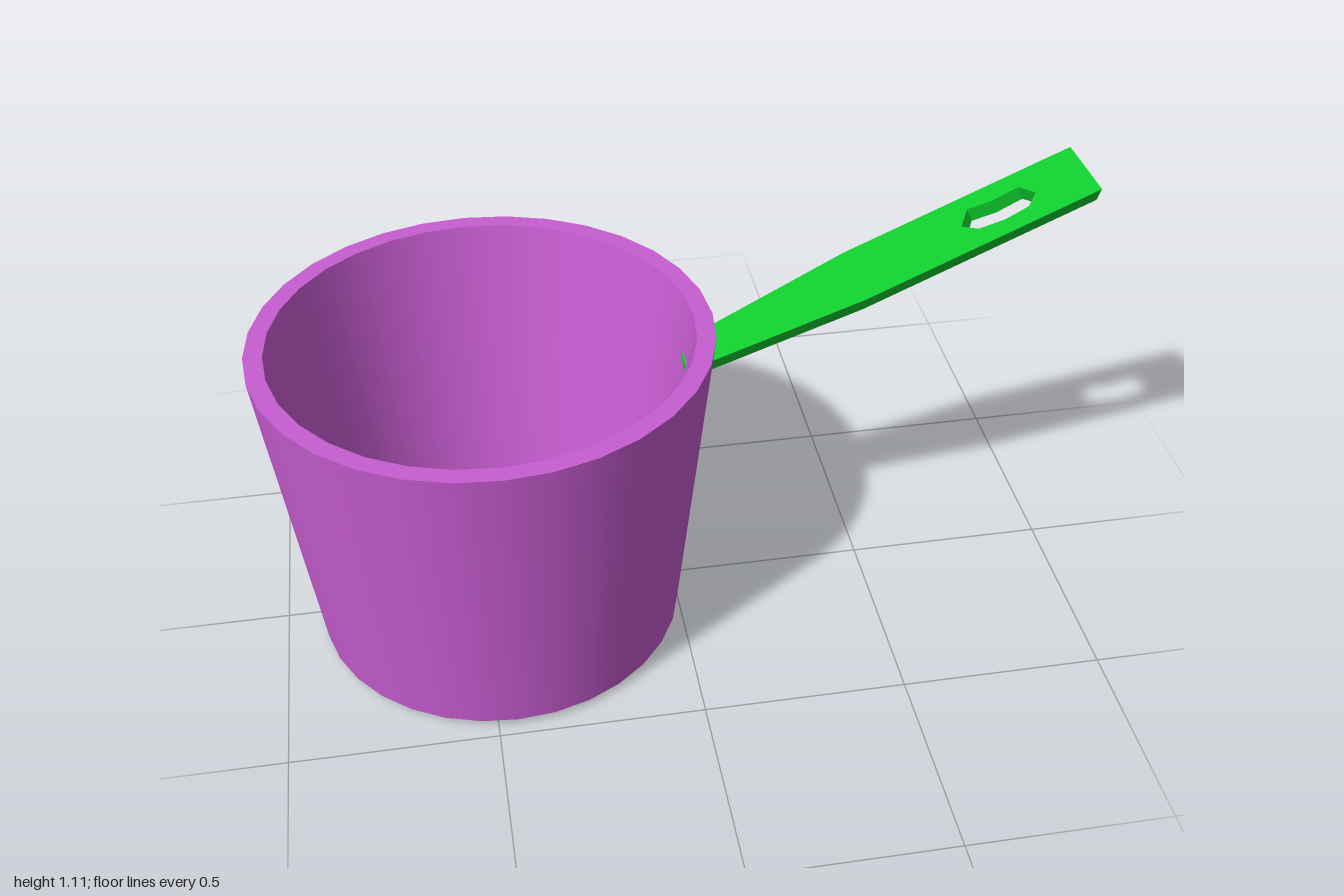
import * as THREE from 'three';

const TILT = 0.019; // the whole pan leans very slightly backwards

export function createModel() {
  const model = new THREE.Group();
  const purple = new THREE.MeshStandardMaterial({ name: 'purple', color: 0xc85dd2 });
  const green = new THREE.MeshStandardMaterial({ name: 'green', color: 0x0fce2e });

  // Pot: one lathed band per profile edge, so the rims stay crisp
  const pot = new THREE.Group();
  pot.name = 'pot';
  const profile = [[0, 0], [0.457, 0], [0.55, 0.81], [0.505, 0.81], [0.38, 0.05], [0, 0.05]];
  const names = ['base', 'outerWall', 'rim', 'innerWall', 'floor'];
  names.forEach((name, i) => {
    const edge = [profile[i], profile[i + 1]].map(([r, y]) => new THREE.Vector2(r, y));
    const band = new THREE.Mesh(new THREE.LatheGeometry(edge, 32), purple);
    band.name = name;
    pot.add(band);
  });
  pot.position.set(-0.45, 0.009, 0.014);
  pot.rotation.x = -TILT;
  model.add(pot);

  // Handle: plan outline (x, z) with a notched hanging hole
  const toPlan = ([x, z]) => new THREE.Vector2(x, -z);
  const outline = new THREE.Shape([
    [0.03, 0.051], [0.45, 0.085], [1, 0.07], [1, -0.14], [0.45, -0.13], [0.03, -0.071],
  ].map(toPlan));
  outline.holes.push(new THREE.Path([
    [0.705, -0.025], [0.735, -0.08], [0.79, -0.07], [0.855, -0.077],
    [0.88, -0.027], [0.852, 0.012], [0.795, 0.021], [0.735, 0.012],
  ].map(toPlan)));
  const geometry = new THREE.ExtrudeGeometry(outline, { depth: 0.04, bevelEnabled: false });
  geometry.rotateX(-Math.PI / 2);

  // Narrow the underside, then slope the handle upwards
  const p = geometry.attributes.position;
  for (let i = 0; i < p.count; i++) {
    let x = p.getX(i), y = p.getY(i), z = p.getZ(i);
    const offset = z + 0.01 + 0.025 * x;
    if (y < 0.02) {
      if (Math.abs(offset) > 0.056) z -= 0.02 * Math.sign(offset);
      else x += 0.015;
    }
    y += 1.07 + 0.43 * (x - 1) + TILT * z;
    p.setXYZ(i, x, y, z);
  }
  geometry.computeVertexNormals();
  const handle = new THREE.Mesh(geometry, green);
  handle.name = 'handle';
  model.add(handle);

  return model;
}
